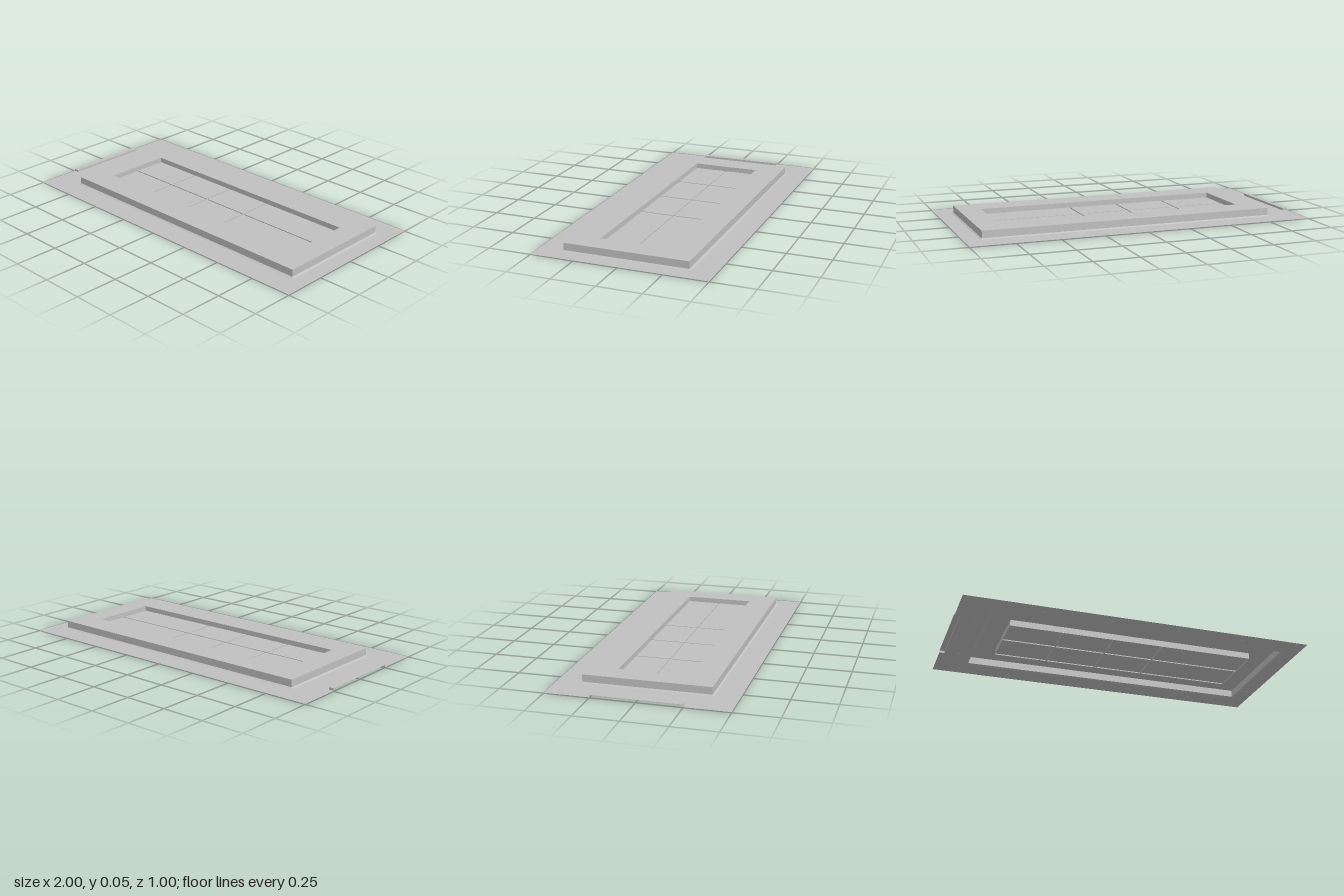
import * as THREE from 'three';

const SHEET = 0.003, FLARE = 0.009, TOP = 0.05, FLOOR = 0.02, GROOVE = 0.014, LIP = 0.016;

export function createModel() {
  const group = new THREE.Group();
  const grey = new THREE.MeshStandardMaterial({ color: 0xc0c0c0, side: THREE.DoubleSide });
  grey.name = 'lightGrey';

  const add = (name, geometry) => {
    const mesh = new THREE.Mesh(geometry, grey);
    mesh.name = name;
    group.add(mesh);
    return mesh;
  };

  // Corners [x, z] of a rectangle
  const rect = (x0, x1, z0, z1) => [[x0, z0], [x0, z1], [x1, z1], [x1, z0]];
  const toVec = pts => pts.map(([x, z]) => new THREE.Vector2(x, -z));

  // Horizontal sheet at height y, with optional holes
  const flat = (pts, y, holes = []) => {
    const shape = new THREE.Shape(toVec(pts));
    holes.forEach(h => shape.holes.push(new THREE.Path(toVec(h))));
    return new THREE.ShapeGeometry(shape).rotateX(-Math.PI / 2).translate(0, y, 0);
  };

  // Flat-shaded wall between a lower and an upper outline
  const wall = (low, y0, high, y1, closed = true) => {
    const pos = [];
    const n = low.length;
    for (let i = 0; i < (closed ? n : n - 1); i++) {
      const j = (i + 1) % n;
      const a = [low[i][0], y0, low[i][1]], b = [low[j][0], y0, low[j][1]];
      const c = [high[j][0], y1, high[j][1]], d = [high[i][0], y1, high[i][1]];
      pos.push(...a, ...b, ...c, ...a, ...c, ...d);
    }
    const g = new THREE.BufferGeometry();
    g.setAttribute('position', new THREE.Float32BufferAttribute(pos, 3));
    g.computeVertexNormals();
    return g;
  };

  const foot = rect(-0.82, 0.91, -0.368, 0.365);
  const block = rect(-0.81, 0.9, -0.358, 0.355);
  const window_ = rect(-0.68, 0.77, -0.2, 0.2);

  // Base sheet, notched for the lip and open under the hollow frame
  const notch = [[-1, -0.25], [-0.97, -0.25], [-0.97, 0.25], [-1, 0.25]];
  add('baseSheet', flat([[-1, -0.5], ...notch, [-1, 0.5], [1, 0.5], [1, -0.5]], SHEET, [foot]));

  // Raised lip on one short edge, open towards the outside
  add('lipTop', flat(notch, LIP));
  add('lipWall', wall(notch, SHEET, notch, LIP, false));

  // Hollow raised frame
  add('frameFoot', wall(foot, SHEET, block, FLARE));
  add('frameOuterWall', wall(block, FLARE, block, TOP));
  add('frameTop', flat(block, TOP, [window_]));
  add('recessWall', wall([...window_].reverse(), FLOOR, [...window_].reverse(), TOP));

  // Recess floor, divided into panels by shallow grooves
  const half = 0.004;
  const cuts = [-0.37, -0.07, 0.225];
  const starts = [-0.68, ...cuts.map(x => x + half)];
  const ends = [...cuts.map(x => x - half), 0.77];
  starts.forEach((x0, i) => {
    for (const [z0, z1] of [[-0.2, -half], [half, 0.2]]) {
      const panel = rect(x0, ends[i], z0, z1);
      add('floorPanel', flat(panel, FLOOR));
      add('grooveWall', wall(panel, GROOVE, panel, FLOOR));
    }
  });
  add('longGroove', flat(rect(-0.68, 0.77, -half, half), GROOVE));
  for (const x of cuts) {
    for (const [z0, z1] of [[-0.2, -half], [half, 0.2]]) {
      add('crossGroove', flat(rect(x - half, x + half, z0, z1), GROOVE));
    }
  }

  // Small studs under the rim
  const studs = [];
  for (const x of [-0.55, -0.16, 0.23, 0.62]) studs.push([x, 0.435], [x, -0.43]);
  for (const x of [-0.89, 0.95]) studs.push([x, 0.23], [x, -0.24]);
  for (const [x, z] of studs) {
    add('stud', new THREE.CylinderGeometry(0.011, 0.009, SHEET, 12)).position.set(x, SHEET / 2, z);
  }

  return group;
}
